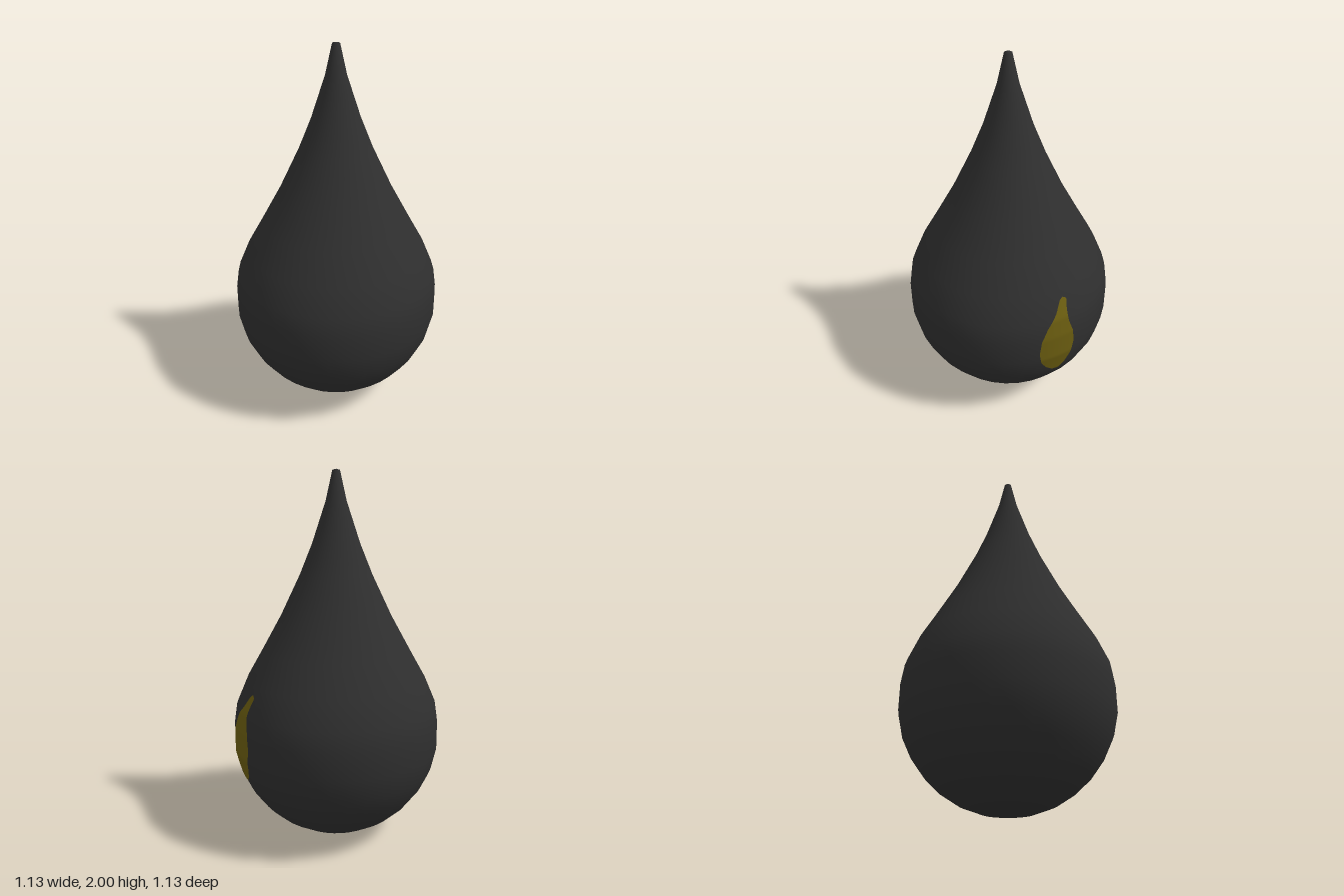
import * as THREE from 'three';

// Piecewise linear lookup: rows of [y, value]
function lookup(table, y) {
  for (let i = 1; i < table.length; i++) {
    const [y0, v0] = table[i - 1], [y1, v1] = table[i];
    if (y <= y1) return THREE.MathUtils.lerp(v0, v1, THREE.MathUtils.clamp((y - y0) / (y1 - y0), 0, 1));
  }
  return table[table.length - 1][1];
}

// Drop radius by height
const PROFILE = [
  [0, 0], [0.02, 0.14], [0.06, 0.25], [0.12, 0.345], [0.19, 0.42], [0.285, 0.49], [0.39, 0.54],
  [0.51, 0.567], [0.65, 0.566], [0.755, 0.55], [0.895, 0.49], [1.05, 0.402], [1.235, 0.3],
  [1.455, 0.195], [1.62, 0.128], [1.84, 0.055], [1.995, 0.02], [2, 0],
];

// Highlight edges: z by height, towards the front and towards the back
const FRONT_EDGE = [
  [0.38, -0.2], [0.392, -0.17], [0.43, -0.133], [0.487, -0.102], [0.56, -0.09],
  [0.645, -0.1], [0.72, -0.133], [0.79, -0.18], [0.85, -0.202], [0.86, -0.215],
];
const BACK_EDGE = [
  [0.38, -0.207], [0.417, -0.24], [0.487, -0.27], [0.576, -0.286],
  [0.656, -0.276], [0.73, -0.25], [0.79, -0.24], [0.848, -0.239], [0.86, -0.22],
];

export function createModel() {
  const group = new THREE.Group();
  const charcoal = new THREE.MeshStandardMaterial({ color: 0x2f2f2f });
  charcoal.name = 'charcoal';
  const olive = new THREE.MeshStandardMaterial({ color: 0x6b5d10 });
  olive.name = 'olive yellow';

  // Teardrop body
  const points = PROFILE.map(([y, r]) => new THREE.Vector2(r, y));
  const body = new THREE.Mesh(new THREE.LatheGeometry(points, 36), charcoal);
  body.name = 'dropBody';
  group.add(body);

  // Small teardrop highlight hugging the left side
  const plate = new THREE.PlaneGeometry(1, 1, 8, 40);
  const pos = plate.attributes.position;
  for (let i = 0; i < pos.count; i++) {
    const y = 0.38 + 0.48 * (pos.getY(i) + 0.5);
    const z = THREE.MathUtils.lerp(lookup(FRONT_EDGE, y), lookup(BACK_EDGE, y), pos.getX(i) + 0.5);
    const r = lookup(PROFILE, y) + 0.004;
    pos.setXYZ(i, Math.sqrt(r * r - z * z), y, z);
  }
  plate.computeVertexNormals();
  const highlight = new THREE.Mesh(plate, olive);
  highlight.name = 'dropHighlight';
  group.add(highlight);

  return group;
}
